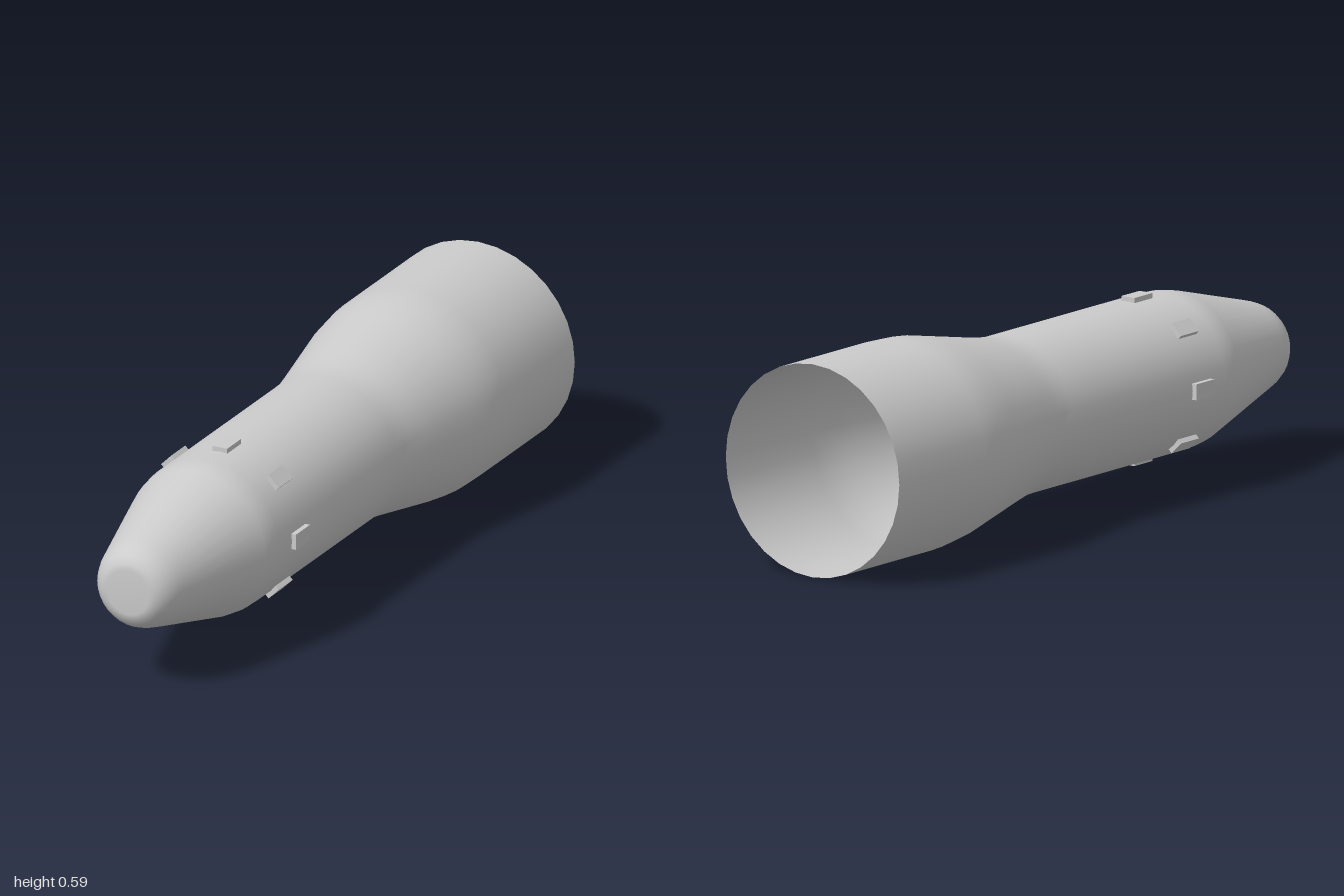
import * as THREE from 'three';

export function createModel() {
  const group = new THREE.Group();
  const axisY = 0.296;
  const shellMat = new THREE.MeshStandardMaterial({ color: 0xcccccc, side: THREE.DoubleSide });
  const blockMat = new THREE.MeshStandardMaterial({ color: 0xcccccc });

  // Hollow body, open at the back: [radius, z] from the rear rim to the nose
  const profile = [
    [0.293, -1], [0.293, -0.62], [0.291, -0.57], [0.284, -0.51], [0.272, -0.45],
    [0.234, -0.26], [0.225, -0.21], [0.220, -0.17], [0.219, -0.13],
    [0.219, 0.54], [0.217, 0.575], [0.211, 0.61],
    [0.131, 0.91], [0.123, 0.938], [0.113, 0.962], [0.099, 0.982],
    [0.082, 0.995], [0.064, 1], [0, 1],
  ].map(([r, z]) => new THREE.Vector2(r, z));
  const bodyGeo = new THREE.LatheGeometry(profile, 32);
  bodyGeo.rotateX(Math.PI / 2);
  const body = new THREE.Mesh(bodyGeo, shellMat);
  body.name = 'bodyShell';
  body.position.y = axisY;
  group.add(body);

  // Ring of eight small blocks behind the nose taper
  const ring = new THREE.Group();
  ring.name = 'blockRing';
  ring.position.set(0, axisY, 0.434);
  const blockGeo = new THREE.BoxGeometry(0.044, 0.026, 0.08);
  blockGeo.translate(0, 0.218, 0);
  for (let i = 0; i < 8; i++) {
    const block = new THREE.Mesh(blockGeo, blockMat);
    block.name = 'block' + (i + 1);
    block.rotation.z = (i * Math.PI) / 4;
    ring.add(block);
  }
  group.add(ring);

  return group;
}
